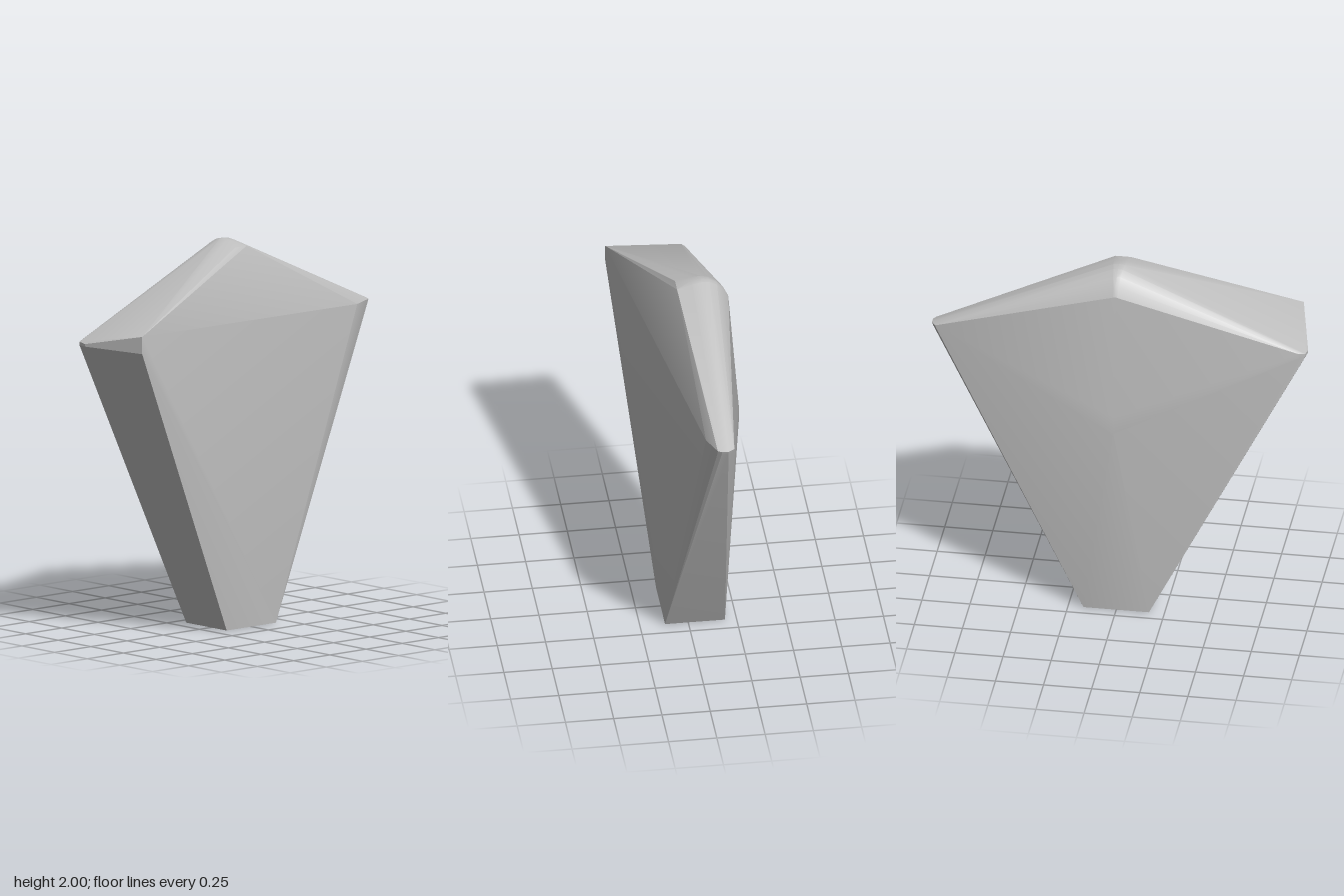
import * as THREE from 'three';
import { ConvexGeometry } from 'three/addons/geometries/ConvexGeometry.js';
import { toCreasedNormals } from 'three/addons/utils/BufferGeometryUtils.js';

export function createModel() {
  const stone = new THREE.MeshStandardMaterial({ color: 0xc0c0c0 });
  stone.name = 'stone grey';

  const points = [];
  const add = (x, y, z) => points.push(new THREE.Vector3(x, y, z));

  // Narrow rectangular foot
  for (const x of [-0.17, 0.17]) for (const z of [0.12, -0.19]) add(x, 0, z);

  // Rounded crest, as a profile of [z, y] mirrored about the middle
  const crest = [[0.04, 1.97], [-0.04, 1.99], [-0.09, 1.997], [-0.13, 1.99], [-0.17, 1.968], [-0.205, 1.93], [-0.23, 1.88]];
  crest.forEach(([z, y], i) => {
    const w = 0.04 - 0.005 * i;
    add(w, y, z);
    add(-w, y, z);
    if (i) add(0, y + 0.003, z);
  });

  // Back ridge
  add(0, 1.2, -0.285);
  add(0, 1.1, -0.285);

  // Rounded left tip
  for (const [x, z] of [[0.958, -0.045], [0.97, -0.065], [0.972, -0.1], [0.95, -0.132]]) {
    add(x, 1.572, z);
    add(x - 0.006, 1.555, z);
  }
  add(0.84, 1.565, 0);

  // Right tip: blunt forward corner and rounded rear corner
  add(-0.9, 1.64, 0.283);
  add(-0.9, 1.55, 0.283);
  for (const [x, y, z] of [[-0.978, 1.565, -0.07], [-0.97, 1.57, -0.12], [-0.94, 1.575, -0.135]]) {
    add(x, y, z);
    add(x, 1.552, z);
  }

  const body = new THREE.Mesh(toCreasedNormals(new ConvexGeometry(points), 0.35), stone);
  body.name = 'facetedBody';

  const group = new THREE.Group();
  group.name = 'facetedStone';
  group.add(body);
  return group;
}
